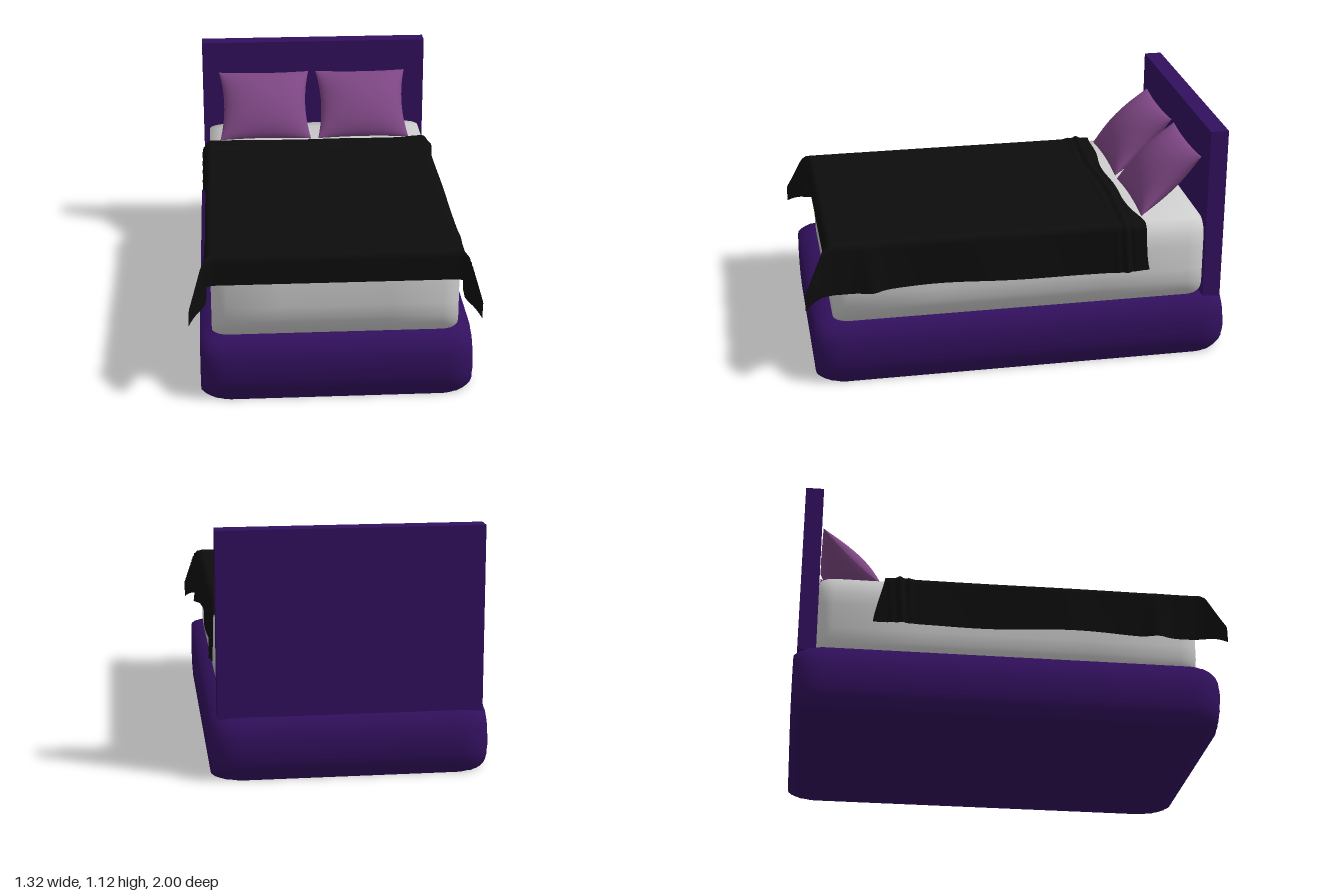
import * as THREE from 'three';
import { mergeGeometries } from 'three/addons/utils/BufferGeometryUtils.js';
import { ParametricGeometry } from 'three/addons/geometries/ParametricGeometry.js';

const purple = new THREE.MeshStandardMaterial({ color: 0x32105e });
const plum = new THREE.MeshStandardMaterial({ color: 0x7d4683 });
const black = new THREE.MeshStandardMaterial({ color: 0x0d0d0d, side: THREE.DoubleSide });
const grey = new THREE.MeshStandardMaterial({ color: 0xcccccc });

function add(group, name, geometry, material, x = 0, y = 0, z = 0) {
  const mesh = new THREE.Mesh(geometry, material);
  mesh.name = name;
  mesh.position.set(x, y, z);
  group.add(mesh);
  return mesh;
}

// Box whose eight corners are rounded off while the edges stay full in the middle
function cornerRoundedBox(sx, sy, sz, r) {
  const g = new THREE.BoxGeometry(2, 2, 2, 20, 20, 20);
  const half = [sx / 2, sy / 2, sz / 2];
  const pos = g.attributes.position;
  const p = new THREE.Vector3(), inner = new THREE.Vector3(), n = new THREE.Vector3();
  for (let i = 0; i < pos.count; i++) {
    p.fromBufferAttribute(pos, i);
    half.forEach((h, k) => {
      // crowd the grid lines near the corners
      const u = p.getComponent(k), a = Math.abs(u);
      const c = Math.sign(u) * (a > 0.2 ? h - r * (1 - a) / 0.8 : (h - r) * a / 0.2);
      p.setComponent(k, c);
      inner.setComponent(k, THREE.MathUtils.clamp(c, r - h, h - r));
    });
    p.sub(inner).clampLength(0, Math.SQRT2 * r).add(inner);
    // soft shading that blends around the edges
    half.forEach((h, k) => {
      const c = p.getComponent(k);
      n.setComponent(k, Math.sign(c) * Math.max(0, 1 - (h - Math.abs(c)) / 0.2) ** 3);
    });
    n.normalize();
    pos.setXYZ(i, p.x, p.y, p.z);
    g.attributes.normal.setXYZ(i, n.x, n.y, n.z);
  }
  return g;
}

// Cushion with pulled-out corners: a puffed front and back sheet
function pillowGeometry(halfW, halfH, puff) {
  const sides = [0, Math.PI].map((turn) => {
    const g = new THREE.PlaneGeometry(2, 2, 24, 24);
    const pos = g.attributes.position;
    for (let i = 0; i < pos.count; i++) {
      const a = pos.getX(i) * Math.PI / 2, b = pos.getY(i) * Math.PI / 2;
      const u = Math.sin(a), v = Math.sin(b);
      const ca = Math.max(0, Math.cos(a)), cb = Math.max(0, Math.cos(b));
      pos.setXYZ(i,
        halfW * u * (1 - 0.1 * cb * cb),
        halfH * v * (1 - 0.05 * ca * ca),
        puff * ca * Math.pow(cb, 1.2));
    }
    g.computeVertexNormals();
    return g.rotateY(turn);
  });
  return mergeGeometries(sides);
}

// Cloth that runs over an edge: how far out and down it gets after a length d
function bend(d, r = 0.03) {
  const a = Math.min(d / r, Math.PI / 2);
  return { out: r * Math.sin(a), down: r * (1 - Math.cos(a)) + Math.max(0, d - r * Math.PI / 2) };
}

// Sheet draped over both sides and the foot, flaring at the foot corners, bunched at the head
function blanketGeometry() {
  const flatX = 0.555, flatZ = 0.865, hangX = 0.257, hangZ = 0.158;
  return new ParametricGeometry((u, v, target) => {
    const s = (u * 2 - 1) * (flatX + hangX);
    const side = Math.sign(s), edge = Math.abs(s) / (flatX + hangX);
    const head = -0.565 - 0.075 * edge ** 2 - 0.008 * Math.sin(s * 14);
    const t = THREE.MathUtils.lerp(head, flatZ + hangZ, v);
    const dx = Math.max(0, Math.abs(s) - flatX), dz = Math.max(0, t - flatZ);
    const bx = bend(dx), bz = bend(dz);
    const flare = Math.min(dx, dz);

    // gathered ridges along the head end, small waves and a fold on the sides
    const gather = Math.exp(-(((t + 0.52) / 0.045) ** 2));
    const ridge = gather * (0.011 + 0.007 * Math.sin(t * 130 + Math.sin(s * 9)));
    const fold = dx * (0.1 * Math.exp(-(((t - 0.69) / 0.05) ** 2)) + 0.03 * Math.sin(t * 9 + side));
    const sideShare = Math.min(1, dx / 0.04);

    target.set(
      0.018 + side * (Math.min(Math.abs(s), flatX) + bx.out + ridge * sideShare + fold + flare * 0.45),
      0.685 - Math.hypot(bx.down, bz.down) + ridge * (1 - sideShare) + 0.03 * dx * Math.sin(t * 5),
      Math.min(t, flatZ) + bz.out + flare * 0.68,
    );
  }, 110, 120);
}

export function createModel() {
  const bed = new THREE.Group();
  bed.name = 'bed';

  add(bed, 'base', cornerRoundedBox(1.24, 0.285, 1.96, 0.14), purple, 0.02, 0.1425, -0.02);
  add(bed, 'headboard', new THREE.BoxGeometry(1.19, 0.845, 0.085), purple, 0.018, 0.7025, -0.9425);
  add(bed, 'mattress', cornerRoundedBox(1.125, 0.38, 1.77, 0.07), grey, 0.0175, 0.475, -0.015);
  add(bed, 'blanket', blanketGeometry(), black);

  // pillows leaning on the headboard
  const pillow = pillowGeometry(0.24, 0.2, 0.088);
  for (const [name, x] of [['rightPillow', -0.25], ['leftPillow', 0.267]]) {
    add(bed, name, pillow, plum, x, 0.82, -0.752).rotation.x = -Math.PI / 4;
  }
  return bed;
}
